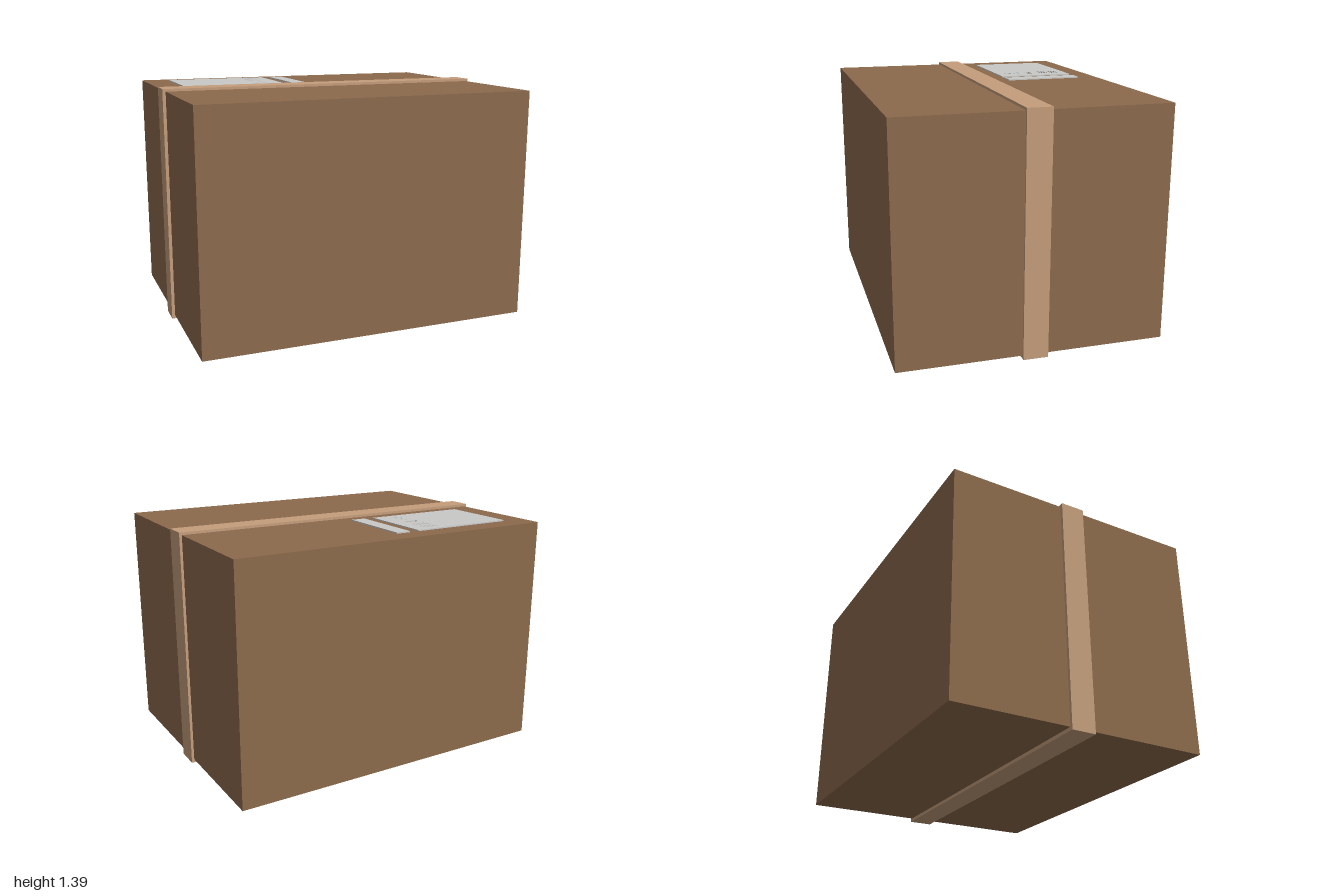
import * as THREE from 'three';

const BOX_TOP = 1.372;

// Adds a closed rectangle x0..x1, y0..y1 to a path or shape
function rect(path, x0, x1, y0, y1) {
  path.moveTo(x0, y0);
  path.lineTo(x1, y0);
  path.lineTo(x1, y1);
  path.lineTo(x0, y1);
  path.closePath();
  return path;
}

function part(name, geometry, material) {
  const mesh = new THREE.Mesh(geometry, material);
  mesh.name = name;
  return mesh;
}

// Thin sheet lying on the box top; holes are [x0, x1, z0, z1]
function sheet(name, x0, x1, z0, z1, holes, material) {
  const shape = rect(new THREE.Shape(), x0, x1, -z1, -z0);
  for (const [a, b, c, d] of holes) shape.holes.push(rect(new THREE.Path(), a, b, -d, -c));
  const geometry = new THREE.ExtrudeGeometry(shape, { depth: 0.007, bevelEnabled: false });
  geometry.rotateX(-Math.PI / 2);
  geometry.translate(0, BOX_TOP, 0);
  return part(name, geometry, material);
}

export function createModel() {
  const cardboard = new THREE.MeshStandardMaterial({ color: 0x8c6a4c });
  cardboard.name = 'cardboard brown';
  const tapeTan = new THREE.MeshStandardMaterial({ color: 0xc49d7b });
  tapeTan.name = 'tape tan';
  const paper = new THREE.MeshStandardMaterial({ color: 0xc9c9c7 });
  paper.name = 'label paper';

  const model = new THREE.Group();
  model.name = 'parcel';

  // Carton
  const carton = part('carton', new THREE.BoxGeometry(1.964, BOX_TOP - 0.02, 1.534), cardboard);
  carton.position.y = (BOX_TOP + 0.02) / 2;
  model.add(carton);

  // Tape band looping round the carton, very slightly askew
  const band = rect(new THREE.Shape(), -1, 0.997, 0, 1.387);
  band.holes.push(rect(new THREE.Path(), -0.975, 0.975, 0.026, BOX_TOP - 0.006));
  const bandGeometry = new THREE.ExtrudeGeometry(band, { depth: 0.143, bevelEnabled: false });
  bandGeometry.translate(0, 0, -0.0715);
  const tape = part('tapeBand', bandGeometry, tapeTan);
  tape.position.z = -0.012;
  tape.rotation.y = -0.005;
  model.add(tape);

  // Cut-out print marks: two bar blocks, a solid patch and small dashes
  const marks = [];
  for (const start of [-0.59, -0.516]) {
    for (let i = 0; i < 5; i++) {
      const z = start + i * 0.0105;
      marks.push([-0.365, -0.275, z, z + 0.006]);
    }
  }
  marks.push([-0.365, -0.282, -0.412, -0.382]);
  for (const [x, z, w] of [[-0.36, -0.33, 0.06], [-0.33, -0.3, 0.035], [-0.35, -0.272, 0.065],
    [-0.32, -0.255, 0.035], [-0.335, -0.236, 0.03]]) {
    marks.push([x, x + w, z, z + 0.007]);
  }

  // Shipping label and its narrow side strip
  model.add(sheet('shippingLabel', -0.828, -0.198, -0.64, -0.18, marks, paper));
  model.add(sheet('labelStrip', -0.14, -0.052, -0.642, -0.176, [], paper));

  return model;
}
